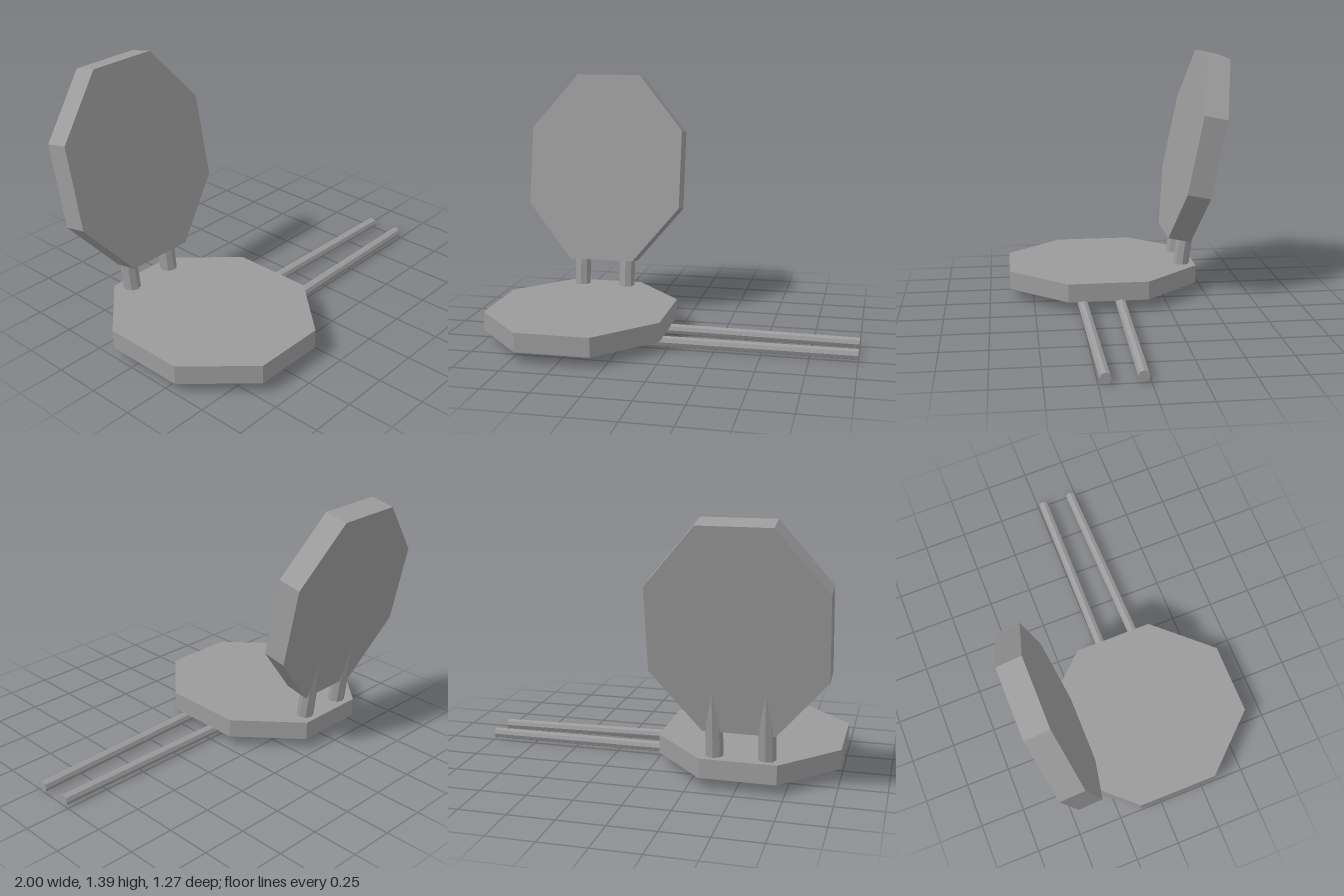
import * as THREE from 'three';

const material = new THREE.MeshStandardMaterial({ color: 0x9b9b9b, flatShading: true });

export function createModel() {
  const group = new THREE.Group();

  const add = (name, geometry) => {
    const mesh = new THREE.Mesh(geometry, material);
    mesh.name = name;
    group.add(mesh);
    return mesh;
  };

  // Slab with an elongated eight-sided outline, standing on its lower edge
  const octagonSlab = (halfWidth, halfFlat, height, low, high, depth) => {
    const half = [[halfFlat, 0], [halfWidth, low], [halfWidth, high], [halfFlat, height]];
    const outline = [...half, ...half.map(([x, y]) => [-x, y]).reverse()];
    const shape = new THREE.Shape(outline.map(([x, y]) => new THREE.Vector2(x, y)));
    return new THREE.ExtrudeGeometry(shape, { depth, bevelEnabled: false });
  };

  // Straight faceted bar between two points
  const bar = (name, from, to, radius, sides) => {
    const a = new THREE.Vector3(...from);
    const b = new THREE.Vector3(...to);
    const dir = b.clone().sub(a);
    const mesh = add(name, new THREE.CylinderGeometry(radius, radius, dir.length(), sides));
    mesh.position.copy(a).add(b).multiplyScalar(0.5);
    mesh.quaternion.setFromUnitVectors(new THREE.Vector3(0, 1, 0), dir.normalize());
  };

  // Seat, lying flat
  const seat = add('seat', octagonSlab(0.487, 0.2, 1.082, 0.316, 0.765, 0.104));
  seat.rotation.x = -Math.PI / 2;
  seat.position.set(-0.513, 0.062, 0.634);

  // Backrest, leaning backwards
  const backrest = add('backrest', octagonSlab(0.45, 0.187, 1.084, 0.318, 0.767, 0.135));
  backrest.rotation.x = -0.2;
  backrest.position.set(-0.512, 0.305, -0.419);

  // Posts joining the seat to the backrest
  for (const x of [-0.651, -0.381]) {
    bar('backPost', [x, 0.1, -0.364], [x, 0.55, -0.42], 0.0465, 8);
  }

  // Two long rods under the seat, with a screw on each side near both ends of the seat
  const rods = [
    { start: [-0.61, 0.045, 0.016], end: [1, 0.034, 0.035], screwZ: 0.03 },
    { start: [-0.61, 0.044, 0.245], end: [1, 0.031, 0.215], screwZ: 0.237 },
  ];
  for (const { start, end, screwZ } of rods) {
    bar('rod', start, end, 0.029, 8);
    for (const x of [-0.585, -0.08]) {
      for (const side of [-1, 1]) {
        const z = screwZ + side * 0.051;
        bar('screw', [x, 0.049, z], [x, 0.075, z], 0.018, 8);
      }
    }
  }

  return group;
}
